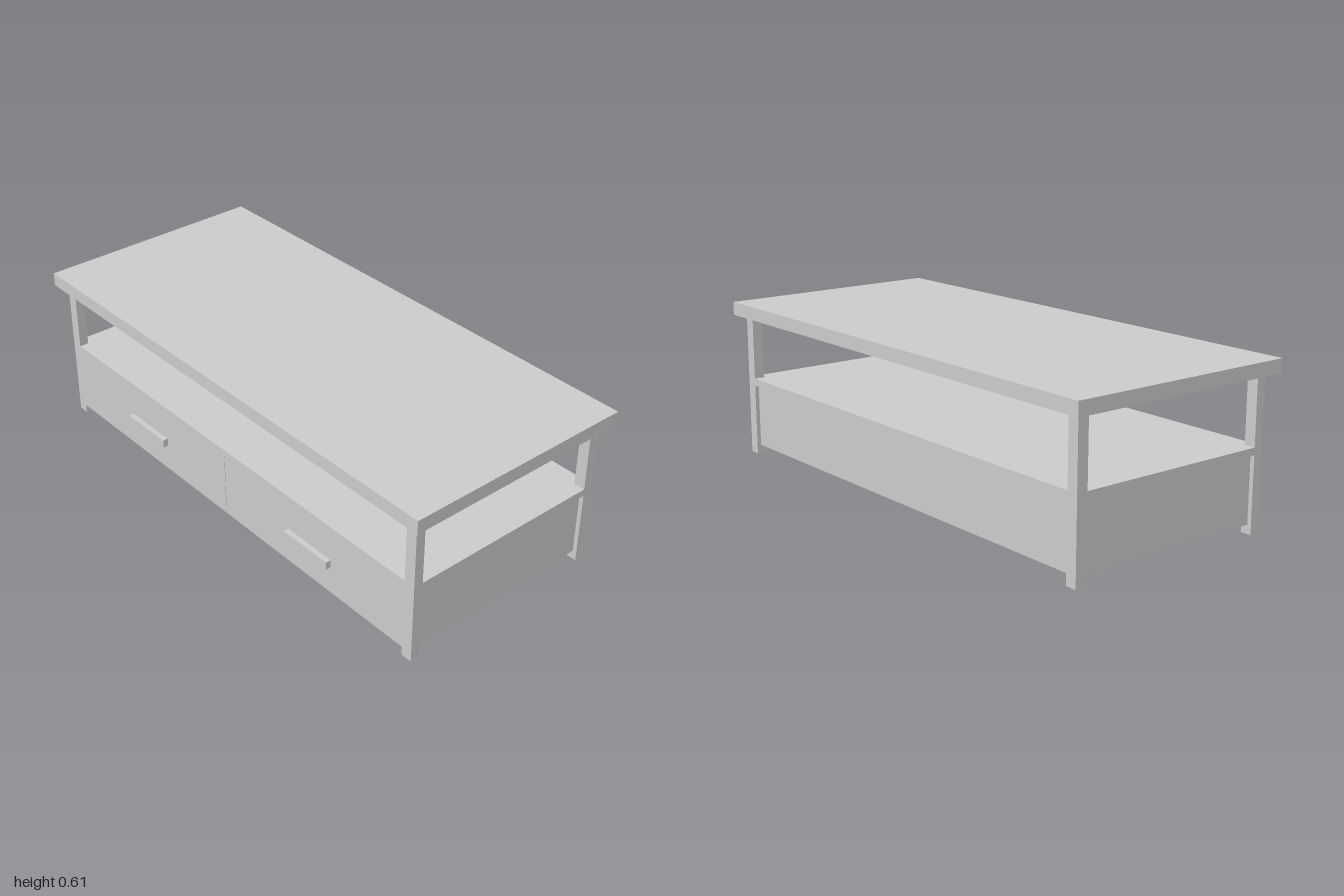
import * as THREE from 'three';

export function createModel() {
  const table = new THREE.Group();
  table.name = 'coffeeTable';
  const material = new THREE.MeshStandardMaterial({ color: 0xcccccc });

  // Box given by its minimum and maximum along each axis
  function box(name, [x0, x1], [y0, y1], [z0, z1]) {
    const mesh = new THREE.Mesh(new THREE.BoxGeometry(x1 - x0, y1 - y0, z1 - z0), material);
    mesh.position.set((x0 + x1) / 2, (y0 + y1) / 2, (z0 + z1) / 2);
    mesh.name = name;
    table.add(mesh);
  }

  const outX = 0.413, outZ = 0.962; // outer faces of the legs
  const inZ = 0.919; // inner faces of the legs
  const recess = 0.016; // cabinet panels sit behind the legs
  const base = 0.033, shelfLow = 0.279, shelfTop = 0.306, topLow = 0.554;

  box('tabletop', [-0.449, 0.449], [topLow, 0.605], [-1, 1]);
  box('shelf', [-outX, outX], [shelfLow, shelfTop], [-outZ, outZ]);

  // Legs, split by the shelf that runs out to their faces
  for (const [x0, x1] of [[-outX, -0.377], [0.371, outX]]) {
    for (const z of [[-outZ, -inZ], [inZ, outZ]]) {
      box('lowerLeg', [x0, x1], [0, shelfLow], z);
      box('upperLeg', [x0, x1], [shelfTop, topLow], z);
    }
  }

  // Cabinet body with recessed ends and back
  box('cabinet', [-0.385, outX - recess], [base, shelfLow], [-outZ + recess, outZ - recess]);

  // Two drawers, flush with the legs, each with a bar handle
  for (const side of [-1, 1]) {
    const z = [side * 0.001, side * inZ].sort((a, b) => a - b);
    box('drawerFront', [-outX, -0.385], [base, shelfLow], z);
    const mid = side * 0.46;
    box('drawerHandle', [-0.433, -outX], [0.14, 0.17], [mid - 0.11, mid + 0.11]);
  }
  return table;
}
